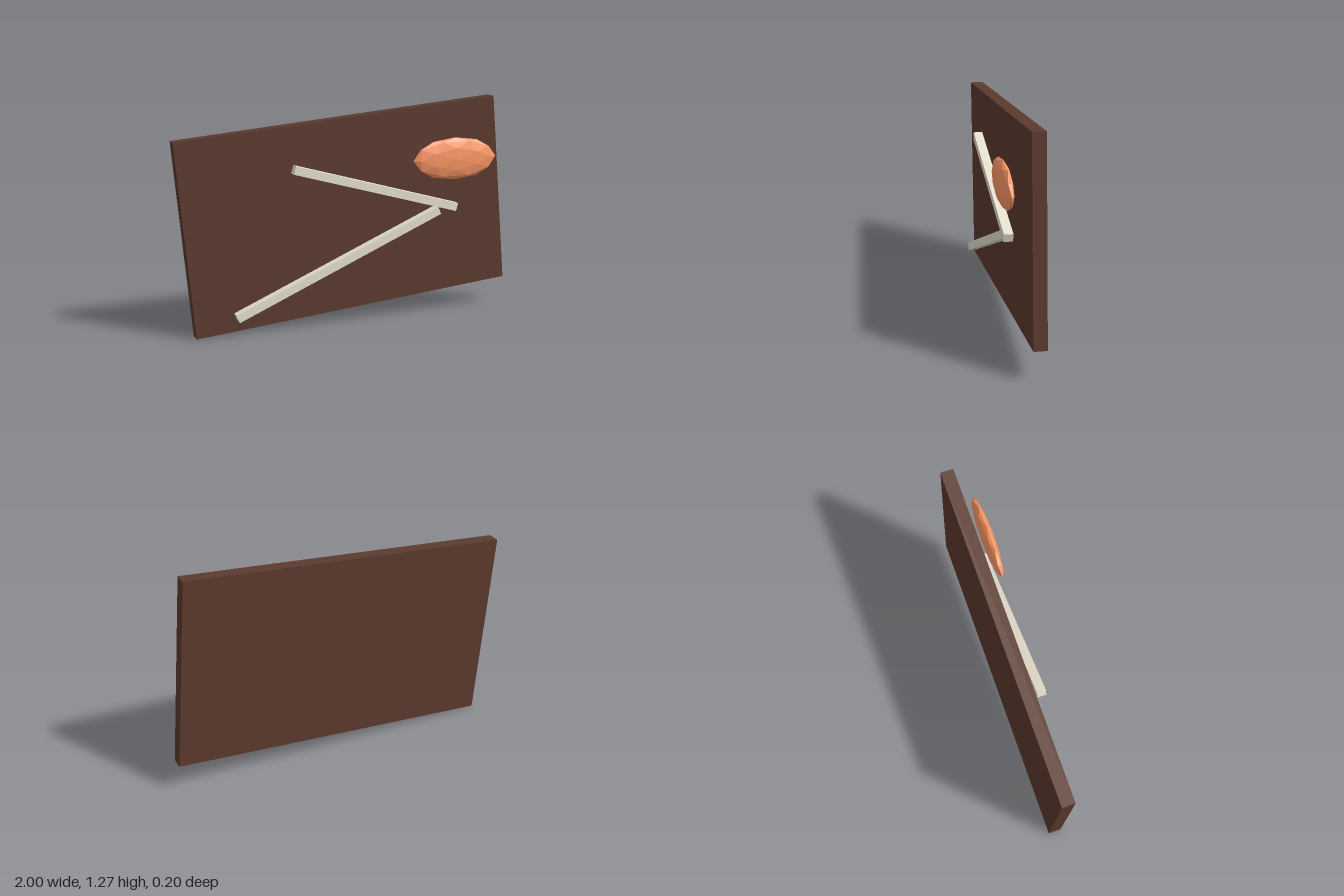
import * as THREE from 'three';

const rad = THREE.MathUtils.degToRad;

export function createModel() {
  const model = new THREE.Group();

  const add = (name, geometry, color, [x, y, z], tilt = 0) => {
    const material = new THREE.MeshStandardMaterial({ color, flatShading: true });
    const mesh = new THREE.Mesh(geometry, material);
    mesh.name = name;
    mesh.position.set(x, y, z);
    mesh.rotation.z = rad(tilt);
    model.add(mesh);
    return mesh;
  };

  // Tilted backing board
  add('board', new THREE.BoxGeometry(1.908, 1.105, 0.073), 0x5c3a2e, [0, 0.634, -0.061], 5);

  // Two crossing sticks, the upper one slightly in front
  add('lowerStick', new THREE.BoxGeometry(1.322, 0.047, 0.05), 0xe8e2d0, [-0.075, 0.37, 0.022], 23);
  add('upperStick', new THREE.BoxGeometry(1.027, 0.047, 0.05), 0xe8e2d0, [0.144, 0.783, 0.036], -16);

  // Flattened faceted pebble
  const pebble = add('pebble', new THREE.IcosahedronGeometry(1, 1), 0xff9966, [0.616, 0.93, 0.063]);
  pebble.scale.set(0.261, 0.122, 0.035);

  return model;
}
